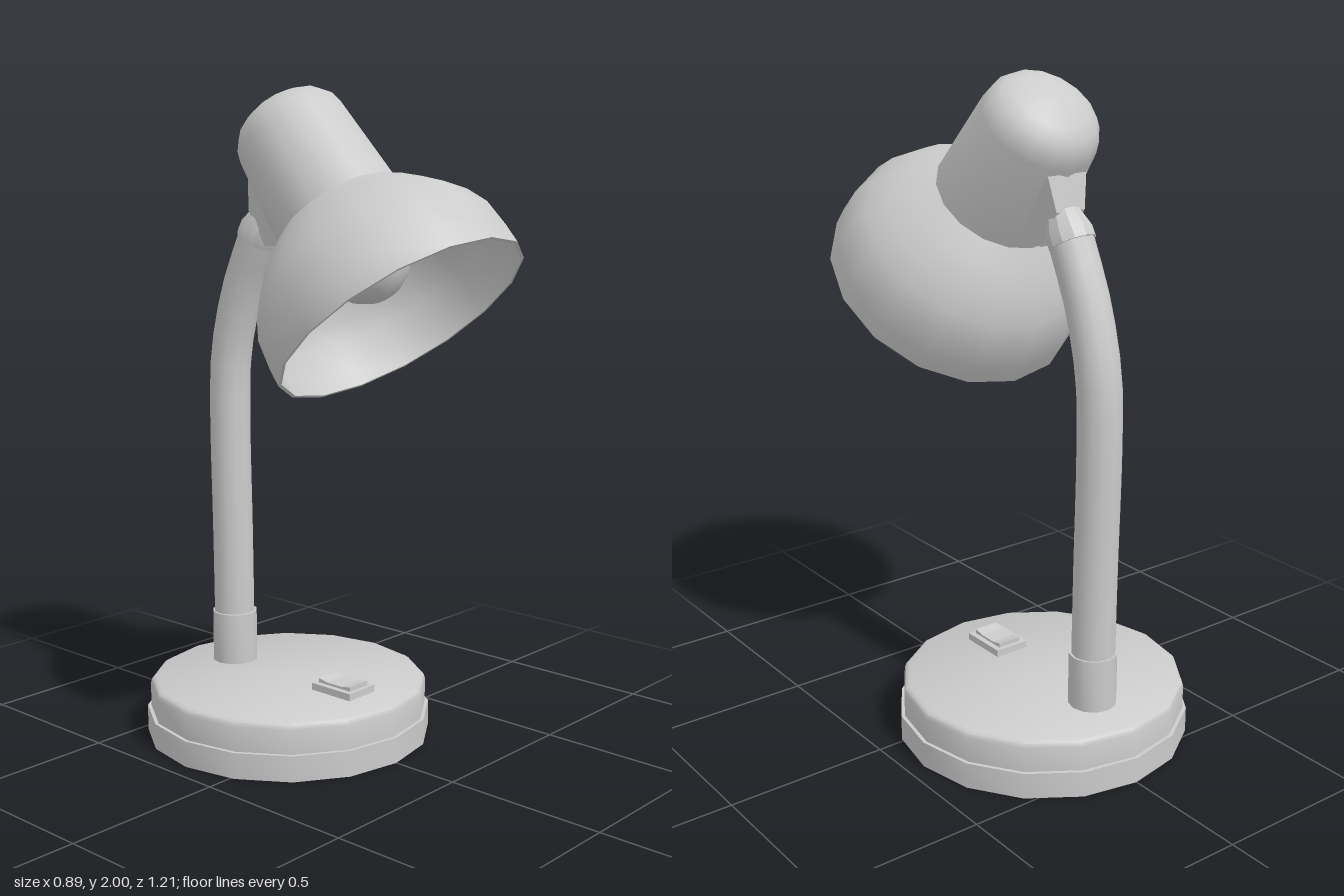
import * as THREE from 'three';
import { toCreasedNormals } from 'three/addons/utils/BufferGeometryUtils.js';
import { ConvexGeometry } from 'three/addons/geometries/ConvexGeometry.js';

const material = new THREE.MeshStandardMaterial({ color: 0xcccccc });
const thin = new THREE.MeshStandardMaterial({ color: 0xcccccc, side: THREE.DoubleSide });

function add(parent, name, geometry, mat = material) {
  const mesh = new THREE.Mesh(geometry, mat);
  mesh.name = name;
  parent.add(mesh);
  return mesh;
}

// Turned part from [radius, height] pairs, listed bottom to top.
function turned(points, sides = 16, crease = 0.7) {
  const profile = points.map(([r, y]) => new THREE.Vector2(r, y));
  return toCreasedNormals(new THREE.LatheGeometry(profile, sides), crease);
}

export function createModel() {
  const lamp = new THREE.Group();
  lamp.name = 'deskLamp';

  // Round base in two steps, with a softened top edge
  const base = new THREE.Group();
  base.name = 'base';
  base.position.z = -0.16;
  lamp.add(base);
  add(base, 'baseFoot', turned([[0, 0], [0.447, 0], [0.447, 0.08], [0, 0.08]]));
  add(base, 'baseTop', turned([[0.436, 0.075], [0.436, 0.155], [0.432, 0.168], [0.42, 0.176], [0, 0.176]]));

  // Rocker switch: plate and dished rocker
  const power = new THREE.Group();
  power.name = 'switch';
  power.position.set(0, 0.176, 0.072);
  lamp.add(power);
  add(power, 'switchPlate', new THREE.BoxGeometry(0.116, 0.024, 0.154)).position.y = 0.01;
  const side = new THREE.Shape([[-0.062, 0], [0.062, 0], [0.064, 0.036], [0.03, 0.029], [-0.03, 0.029], [-0.064, 0.036]]
    .map(([x, y]) => new THREE.Vector2(x, y)));
  const rocker = new THREE.ExtrudeGeometry(side, { depth: 0.08, bevelEnabled: false });
  rocker.translate(0, 0, -0.04).rotateY(Math.PI / 2);
  add(power, 'switchRocker', rocker);

  // Curved arm in a socket
  const socket = add(lamp, 'armSocket', turned([[0, 0], [0.073, 0], [0.073, 0.17], [0, 0.17]], 12));
  socket.position.set(0, 0.17, -0.4);
  const path = new THREE.CatmullRomCurve3([
    [0.2, -0.4], [0.6, -0.405], [1.0, -0.412], [1.19, -0.403], [1.39, -0.35], [1.56, -0.272],
  ].map(([y, z]) => new THREE.Vector3(0, y, z)));
  add(lamp, 'arm', new THREE.TubeGeometry(path, 16, 0.066, 12));

  // Collar at the arm's end
  const collar = add(lamp, 'armCollar',
    turned([[0, 0], [0.069, 0], [0.069, 0.035], [0.05, 0.09], [0, 0.09]], 12, 0.4));
  collar.position.set(0, 1.546, -0.282);
  collar.rotation.x = 0.53;

  // Wedge joining the collar to the lamp head
  const wedge = [];
  for (const s of [-1, 1]) {
    for (const [x, y, z] of [[0.05, 1.635, -0.272], [0.05, 1.53, -0.205], [0.068, 1.735, -0.255],
      [0.068, 1.54, -0.12], [0.068, 1.72, -0.18], [0.068, 1.6, -0.08]]) {
      wedge.push(new THREE.Vector3(s * x, y, z));
    }
  }
  add(lamp, 'headBracket', new ConvexGeometry(wedge));

  // Tilted head: local y runs from the rim up to the cap
  const head = new THREE.Group();
  head.name = 'head';
  head.position.set(0, 1.333, 0.294);
  head.rotation.x = -0.682;
  lamp.add(head);
  const bell = [[0.399, 0], [0.397, 0.06], [0.387, 0.15], [0.358, 0.215], [0.313, 0.276], [0.258, 0.332], [0.198, 0.381]];
  const lining = bell.map(([r, y]) => [r - 0.01, Math.max(0, y - 0.008)]).reverse();
  add(head, 'shade', turned([...lining, ...bell]), thin);
  add(head, 'shadeCap', turned([[0.2, 0.376], [0.177, 0.675], [0.168, 0.712], [0.146, 0.743],
    [0.11, 0.766], [0.06, 0.782], [0, 0.788]]), thin);

  // Bulb with its neck reaching up into the cap
  add(head, 'bulb', turned([[0, 0.09], [0.053, 0.1], [0.098, 0.131], [0.128, 0.177], [0.138, 0.23],
    [0.128, 0.283], [0.1, 0.335], [0.07, 0.38], [0.06, 0.45], [0.06, 0.6], [0, 0.6]]));

  return lamp;
}
